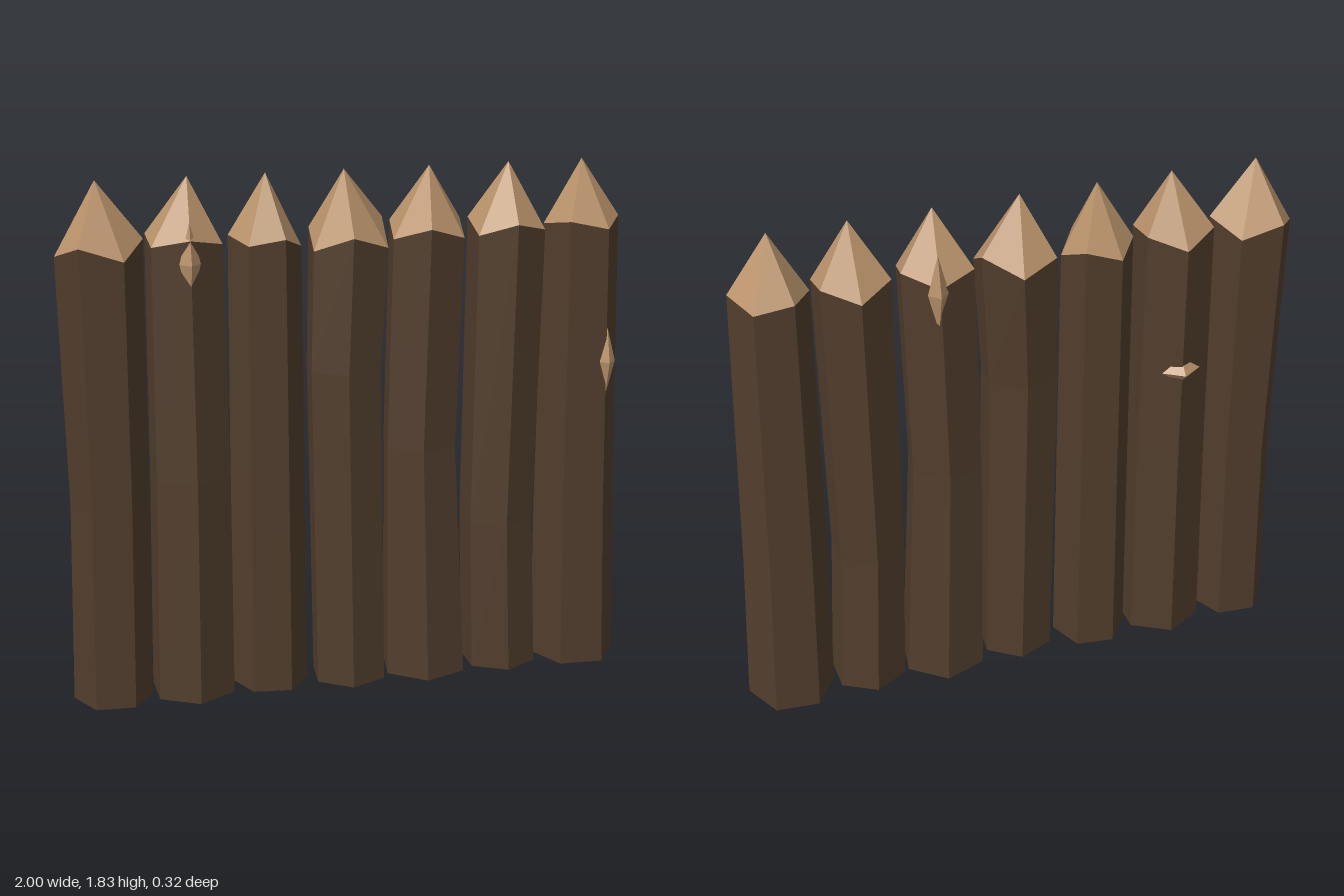
import * as THREE from 'three';

// Each post: twist in degrees, rings [x, y, z, radius] for foot, bend and shoulder,
// heights of the six shoulder corners, and x of the sharpened point
const POSTS = [
  { rot: 4, foot: [-0.855, 0, 0, 0.137], bend: [-0.845, 0.72, 0, 0.134], top: [-0.853, 0, 0, 0.147],
    ys: [1.63, 1.58, 1.63, 1.58, 1.63, 1.59], tip: -0.86 },
  { rot: 30, foot: [-0.57, 0, 0, 0.153], bend: [-0.565, 0.8, 0, 0.147], top: [-0.57, 0, 0, 0.138],
    ys: [1.61, 1.64, 1.61, 1.63, 1.59, 1.63], tip: -0.555 },
  { rot: 7, foot: [-0.291, 0, -0.01, 0.134], bend: [-0.291, 0.8, -0.01, 0.129], top: [-0.292, 0, -0.01, 0.124],
    ys: [1.575, 1.62, 1.6, 1.62, 1.59, 1.63], tip: -0.29 },
  { rot: 36, foot: [-0.007, 0, 0.012, 0.137], bend: [-0.025, 1.15, 0.015, 0.138], top: [-0.005, 0, 0, 0.146],
    ys: [1.57, 1.62, 1.565, 1.62, 1.59, 1.65], tip: -0.02 },
  { rot: 39, foot: [0.275, 0, 0, 0.158], bend: [0.252, 0.85, 0, 0.137], top: [0.272, 0, 0, 0.14],
    ys: [1.59, 1.635, 1.59, 1.63, 1.6, 1.635], tip: 0.278 },
  { rot: 30, foot: [0.558, 0, 0, 0.136], bend: [0.54, 0.55, 0, 0.132], top: [0.557, 0, 0, 0.137],
    ys: [1.6, 1.635, 1.59, 1.63, 1.59, 1.63], tip: 0.56 },
  { rot: 4, foot: [0.845, 0, 0, 0.155], bend: [0.834, 0.6, 0, 0.147], top: [0.83, 0, 0, 0.134],
    ys: [1.625, 1.6, 1.63, 1.605, 1.62, 1.6], tip: 0.825 },
];
const TIP_Y = 1.83;

// Bare wood patches: centre and half sizes
const CHIPS = [
  { name: 'frontSplinter', at: [-0.57, 1.56, 0.122], size: [0.036, 0.14, 0.036] },
  { name: 'backSplinter', at: [0.298, 1.58, -0.125], size: [0.036, 0.14, 0.036] },
  { name: 'frontKnot', at: [0.897, 1.13, 0.12], size: [0.031, 0.12, 0.031] },
  { name: 'backKnot', at: [-0.57, 1.12, -0.122], size: [0.07, 0.05, 0.045] },
];

function ring([x, y, z, r], rot, ys) {
  const pts = [];
  for (let k = 0; k < 6; k++) {
    const a = THREE.MathUtils.degToRad(rot + 60 * k);
    pts.push(new THREE.Vector3(x + r * Math.cos(a), ys ? ys[k] : y, z + r * Math.sin(a)));
  }
  return pts;
}

// Unshared corners give flat facets
function facets(corners) {
  const g = new THREE.BufferGeometry().setFromPoints(corners);
  g.computeVertexNormals();
  return g;
}

export function createModel() {
  const bark = new THREE.MeshStandardMaterial({ color: 0x523e2d });
  bark.name = 'bark';
  const wood = new THREE.MeshStandardMaterial({ color: 0xb9926a });
  wood.name = 'bareWood';

  const model = new THREE.Group();
  model.name = 'palisade';
  const add = (parent, geometry, material, name) => {
    const mesh = new THREE.Mesh(geometry, material);
    mesh.name = name;
    parent.add(mesh);
    return mesh;
  };

  POSTS.forEach((p, i) => {
    const post = new THREE.Group();
    post.name = `post${i + 1}`;
    model.add(post);

    const rings = [ring(p.foot, p.rot), ring(p.bend, p.rot), ring(p.top, p.rot, p.ys)];
    const centre = new THREE.Vector3(p.foot[0], 0, p.foot[2]);
    const apex = new THREE.Vector3(p.tip, TIP_Y, 0);
    const shaft = [], point = [];
    for (let k = 0; k < 6; k++) {
      const n = (k + 1) % 6;
      // underside, then the two lengths of the shaft
      shaft.push(centre, rings[0][k], rings[0][n]);
      for (let j = 0; j < 2; j++) {
        const lo = rings[j], hi = rings[j + 1];
        shaft.push(lo[n], lo[k], hi[k], lo[n], hi[k], hi[n]);
      }
      point.push(rings[2][n], rings[2][k], apex);
    }
    add(post, facets(shaft), bark, 'shaft');
    add(post, facets(point), wood, 'sharpenedPoint');
  });

  // Splinters and knots, sunk halfway into the posts
  for (const c of CHIPS) {
    const g = new THREE.OctahedronGeometry(1).scale(...c.size);
    g.computeVertexNormals();
    add(model, g, wood, c.name).position.set(...c.at);
  }
  return model;
}
